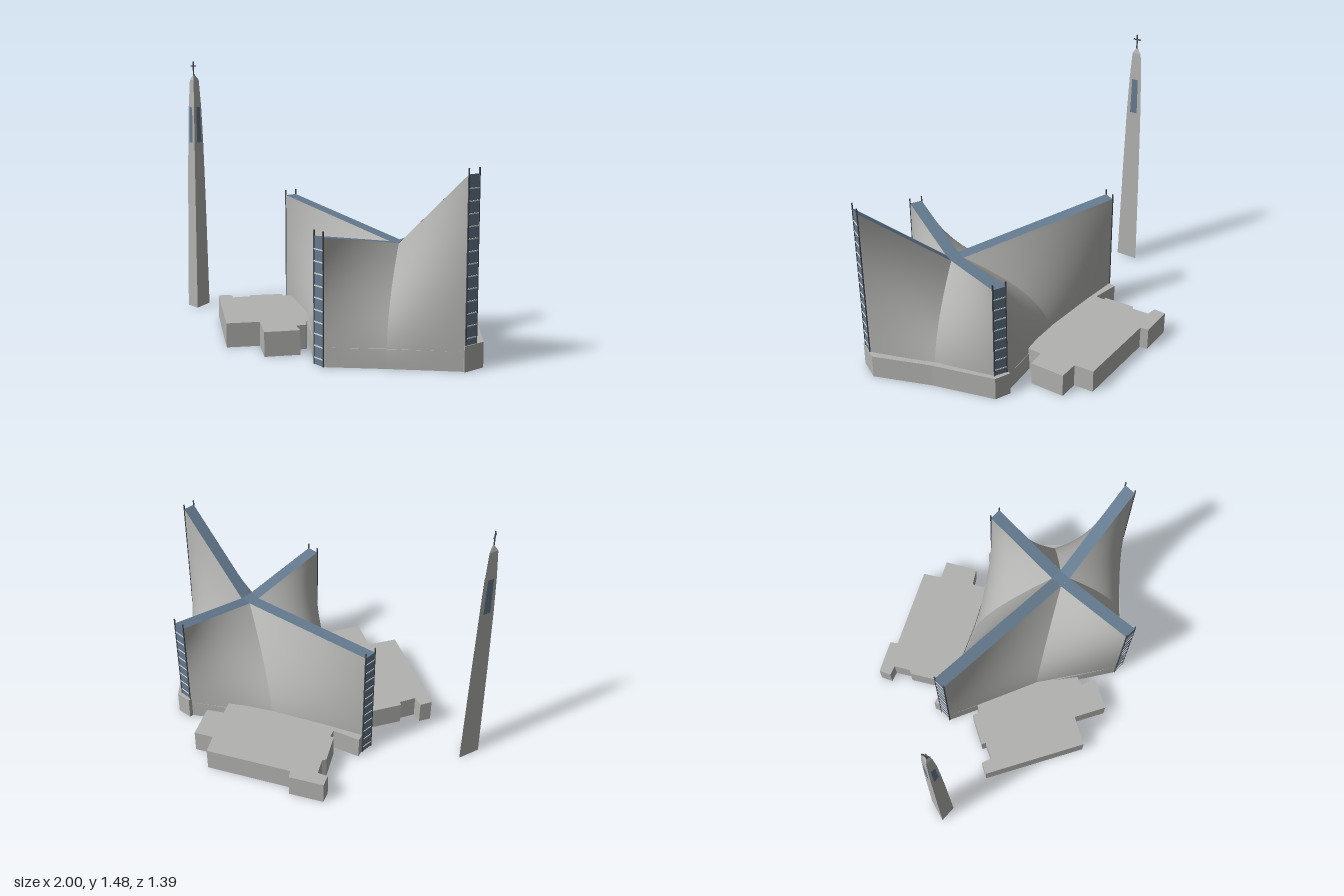
import * as THREE from 'three';

const mat = (name, color) => new THREE.MeshStandardMaterial({ name, color, side: THREE.DoubleSide });

// Smooth surface sampled from f(u, v) -> [x, y, z]
function surface(f, nu = 1, nv = 1) {
  const pos = [], idx = [];
  for (let j = 0; j <= nv; j++)
    for (let i = 0; i <= nu; i++) pos.push(...f(i / nu, j / nv));
  for (let j = 0; j < nv; j++)
    for (let i = 0; i < nu; i++) {
      const a = j * (nu + 1) + i, b = a + 1, c = a + nu + 1, d = c + 1;
      idx.push(a, b, d, a, d, c);
    }
  const g = new THREE.BufferGeometry();
  g.setAttribute('position', new THREE.Float32BufferAttribute(pos, 3));
  g.setIndex(idx);
  g.computeVertexNormals();
  return g;
}

const mix = (a, b, t) => a.map((v, i) => v + (b[i] - v) * t);
// Flat or twisted quad: a-b is the lower edge, d-c the upper edge
const quad = (a, b, c, d) => surface((u, v) => mix(mix(a, b, u), mix(d, c, u), v));

export function createModel() {
  const model = new THREE.Group();
  const concrete = mat('concrete', 0xb2b2b0);
  const glass = mat('blue glass', 0x647a8f);
  const trim = mat('pale mullion', 0xd6d8d8);
  const metal = mat('dark metal', 0x4a4e52);

  const add = (parent, name, geometry, material) => {
    const m = new THREE.Mesh(geometry, material);
    m.name = name;
    parent.add(m);
    return m;
  };
  const group = (name) => {
    const g = new THREE.Group();
    g.name = name;
    model.add(g);
    return g;
  };
  const flat = (pts, y) => {
    const g = new THREE.ShapeGeometry(new THREE.Shape(pts.map(([x, z]) => new THREE.Vector2(x, -z))));
    return g.rotateX(-Math.PI / 2).translate(0, y, 0);
  };
  // Low flat-roofed block, open underneath
  const block = (name, pts, h) => {
    const g = group(name);
    add(g, name + 'Roof', flat(pts, h), concrete);
    pts.forEach(([x, z], i) => {
      const [x2, z2] = pts[(i + 1) % pts.length];
      add(g, name + 'Wall', quad([x2, 0, z2], [x, 0, z], [x, h, z], [x2, h, z2]), concrete);
    });
  };

  // Cross-shaped hall: four arms, listed in order around the centre
  const C = [0.482, 0.186], topY = 0.56, half = 0.036, baseY = 0.13;
  const arms = [
    { name: 'west', end: [-0.398, -0.225], h: 0.695, foot: 0 },
    { name: 'south', end: [0.265, 0.675], h: 0.648, foot: 0 },
    { name: 'east', end: [0.96, 0.408], h: 0.965, foot: baseY },
    { name: 'north', end: [0.698, -0.305], h: 0.652, foot: baseY },
  ];
  for (const a of arms) {
    const dx = a.end[0] - C[0], dz = a.end[1] - C[1], l = Math.hypot(dx, dz);
    a.dir = [dx / l, dz / l];
    a.side = [dz / l, -dx / l]; // towards the next arm
    a.corner = (s) => [a.end[0] + a.side[0] * half * s, a.end[1] + a.side[1] * half * s];
    a.inner = (s) => [0, 1].map((k) => C[k] + a.dir[k] * half + a.side[k] * half * s);
  }

  // Curved walls: two ruled sheets per bay, meeting at a curved crease
  const kinks = [[-0.04, 0.235], [0.585, 0.575], [0.845, 0.03], [0.17, -0.25]];
  const hall = group('hall');
  const footprint = [];
  arms.forEach((a, i) => {
    const b = arms[(i + 1) % 4], kink = kinks[i];
    // choose the arm corners that face this bay
    const facing = (p, q) => (p.side[0] * q.dir[0] + p.side[1] * q.dir[1] > 0 ? 1 : -1);
    const sa = facing(a, b), sb = facing(b, a);
    const crown = [0, 1].map((k) => C[k] + (a.dir[k] + b.dir[k]) * half);
    const sheet = (arm, s) => surface((u, v) => {
      const p = arm.corner(s);
      const c = mix(kink, crown, Math.pow(v, 2.2));
      return mix([p[0], v * arm.h, p[1]], [c[0], v * topY, c[1]], u);
    }, 20, 24);
    add(hall, a.name + 'BayWall', sheet(a, sa), concrete);
    add(hall, b.name + 'BayWall', sheet(b, sb), concrete);
    footprint.push(a.corner(-sa), a.corner(sa), kink);
  });
  add(hall, 'floor', flat(footprint, 0.1), concrete);

  // Glazed ridges, end windows, mullions and corner posts
  const glazing = group('glazing');
  for (const a of arms) {
    const [p, q, r, s] = [a.corner(-1), a.corner(1), a.inner(1), a.inner(-1)];
    const at = ([x, z], y) => [x, y, z];
    add(glazing, a.name + 'Ridge', quad(at(p, a.h), at(q, a.h), at(r, topY), at(s, topY)), glass);
    add(glazing, a.name + 'Window', quad(at(q, a.foot), at(p, a.foot), at(p, a.h), at(q, a.h)), glass);
    const angle = Math.atan2(a.dir[0], a.dir[1]);
    for (let y = a.foot + 0.035; y < a.h - 0.02; y += 0.061) {
      const bar = add(glazing, a.name + 'Mullion', new THREE.BoxGeometry(half * 1.9, 0.006, 0.006), trim);
      bar.position.set(a.end[0], y, a.end[1]);
      bar.rotation.y = angle;
    }
    for (const [x, z] of [p, q]) {
      const h = a.h + 0.03 - a.foot;
      const post = add(glazing, a.name + 'Post', new THREE.BoxGeometry(0.006, h, 0.006), metal);
      post.position.set(x, a.foot + h / 2, z);
      post.rotation.y = angle;
    }
  }
  add(glazing, 'ridgeCrossing', flat(arms.map((a, i) => {
    const b = arms[(i + 1) % 4];
    return [0, 1].map((k) => C[k] + (a.dir[k] + b.dir[k]) * half);
  }), topY), glass);

  // Low side buildings and the plinth under the east and north arms
  block('northAnnex', [
    [-0.305, -0.69], [-0.11, -0.7], [-0.1, -0.655], [0.39, -0.675], [0.405, -0.565], [0.515, -0.57],
    [0.53, -0.375], [0.43, -0.36], [0.435, -0.27], [0.17, -0.25], [-0.38, -0.25], [-0.375, -0.3],
    [-0.215, -0.28], [-0.215, -0.33], [-0.235, -0.33], [-0.255, -0.505], [-0.235, -0.52],
    [-0.245, -0.615], [-0.305, -0.62],
  ], baseY);
  block('southAnnex', [
    [-0.675, 0.145], [-0.62, 0.1], [-0.575, 0.145], [-0.5, 0.08], [-0.515, 0.06], [-0.365, -0.055],
    [-0.34, -0.02], [-0.3, -0.05], [-0.04, 0.235], [0.08, 0.46], [0.04, 0.5], [0.1, 0.565],
    [-0.045, 0.68], [-0.165, 0.525], [-0.305, 0.63],
  ], baseY);
  block('plinth', [
    [0.945, 0.455], [1, 0.335], [0.865, 0.03], [0.75, -0.31], [0.665, -0.34], [0.65, -0.3],
    [0.81, 0.04], [0.92, 0.42],
  ], baseY);

  // Tapering three-sided bell tower
  const tower = group('bellTower');
  const T = [-0.942, -0.03];
  const tri = [[-1, -0.01], [-0.91, 0.025], [-0.915, -0.11]];
  const rings = [[0, 1], [0.64, 0.83], [1, 0.7], [1.21, 0.58], [1.37, 0.41], [1.4, 0.08]];
  const point = (p, [y, s], out = [0, 0]) =>
    [T[0] + (p[0] - T[0]) * s + out[0], y, T[1] + (p[1] - T[1]) * s + out[1]];
  tri.forEach((p, i) => {
    const q = tri[(i + 1) % 3];
    for (let k = 0; k < rings.length - 1; k++) {
      const lo = rings[k], hi = rings[k + 1];
      add(tower, 'towerFace', quad(point(p, lo), point(q, lo), point(q, hi), point(p, hi)), concrete);
    }
    // louvre window, just proud of the face
    const l = Math.hypot(q[0] - p[0], q[1] - p[1]);
    const out = [-(q[1] - p[1]) / l * 0.003, (q[0] - p[0]) / l * 0.003];
    const a = mix(p, q, 0.26), b = mix(p, q, 0.74);
    add(tower, 'towerWindow', quad(point(a, rings[2], out), point(b, rings[2], out),
      point(b, rings[3], out), point(a, rings[3], out)), glass);
  });
  add(tower, 'towerBase', flat(tri, 0), concrete);
  add(tower, 'crossPole', new THREE.BoxGeometry(0.006, 0.09, 0.006), metal).position.set(T[0], 1.435, -0.027);
  add(tower, 'crossArm', new THREE.BoxGeometry(0.006, 0.007, 0.045), metal).position.set(T[0], 1.452, -0.027);

  return model;
}
